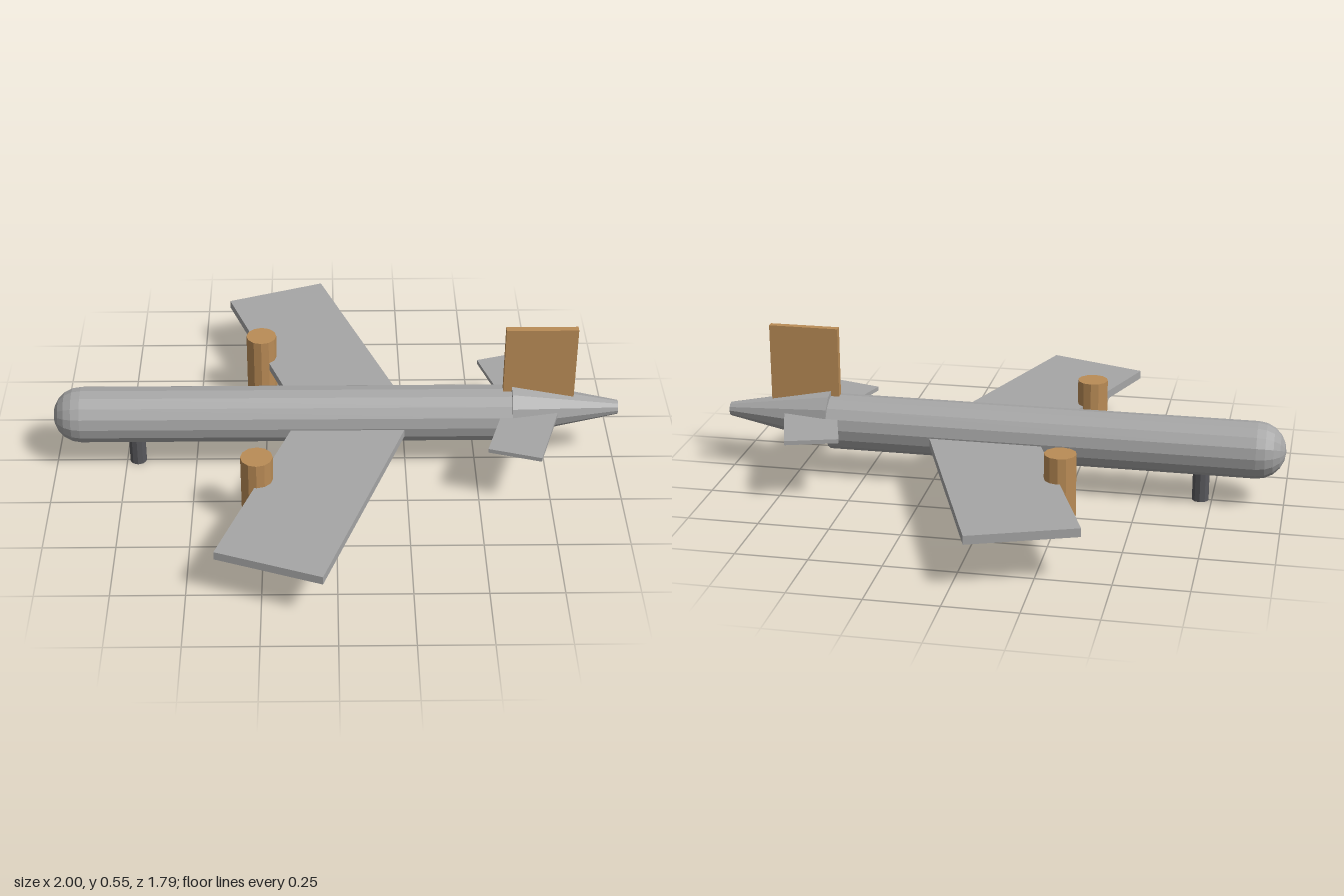
import * as THREE from 'three';

export function createModel() {
  const model = new THREE.Group();
  model.name = 'aeroplane';

  const mat = (name, color) => {
    const m = new THREE.MeshStandardMaterial({ color, flatShading: true });
    m.name = name;
    return m;
  };
  const grey = mat('grey', 0xa6a6a6);
  const wood = mat('tan', 0xba8c56);
  const dark = mat('dark grey', 0x58585c);

  const add = (name, geometry, material, x, y, z, turn = 0) => {
    const mesh = new THREE.Mesh(geometry, material);
    mesh.name = name;
    mesh.position.set(x, y, z);
    mesh.rotation.y = turn;
    model.add(mesh);
    return mesh;
  };

  // Fuselage: tube with a round nose at -x and a tapered tail at +x
  const tube = new THREE.CylinderGeometry(0.1, 0.1, 1.52, 16).rotateZ(Math.PI / 2);
  add('fuselage', tube, grey, -0.14, 0.2, 0);
  const nose = new THREE.SphereGeometry(0.1, 16, 5, 0, Math.PI * 2, 0, Math.PI / 2).rotateZ(Math.PI / 2);
  add('nose', nose, grey, -0.9, 0.2, 0);
  const tail = new THREE.CylinderGeometry(0.1, 0.025, 0.38, 12).rotateZ(Math.PI / 2);
  add('tailCone', tail, grey, 0.81, 0.22, 0);

  // Upright tail fin
  add('tailFin', new THREE.BoxGeometry(0.25, 0.28, 0.025), wood, 0.715, 0.41, 0);

  // Wings, tailplanes and upright engines on both sides
  for (const [label, s] of [['left', 1], ['right', -1]]) {
    const sweep = THREE.MathUtils.degToRad(20) * s;
    add(label + 'Wing', new THREE.BoxGeometry(0.375, 0.03, 0.9), grey, -0.071, 0.18, 0.407 * s, -sweep);
    add(label + 'Tailplane', new THREE.BoxGeometry(0.187, 0.015, 0.3), grey, 0.654, 0.232, 0.159 * s, -sweep * 0.85);
    add(label + 'Engine', new THREE.CylinderGeometry(0.055, 0.055, 0.22, 12), wood, -0.27, 0.175, 0.375 * s);
  }

  // Landing legs under the belly
  for (const [label, x] of [['front', -0.71], ['rear', -0.015]]) {
    add(label + 'Leg', new THREE.CylinderGeometry(0.03, 0.03, 0.12, 10), dark, x, 0.06, 0);
  }
  return model;
}
